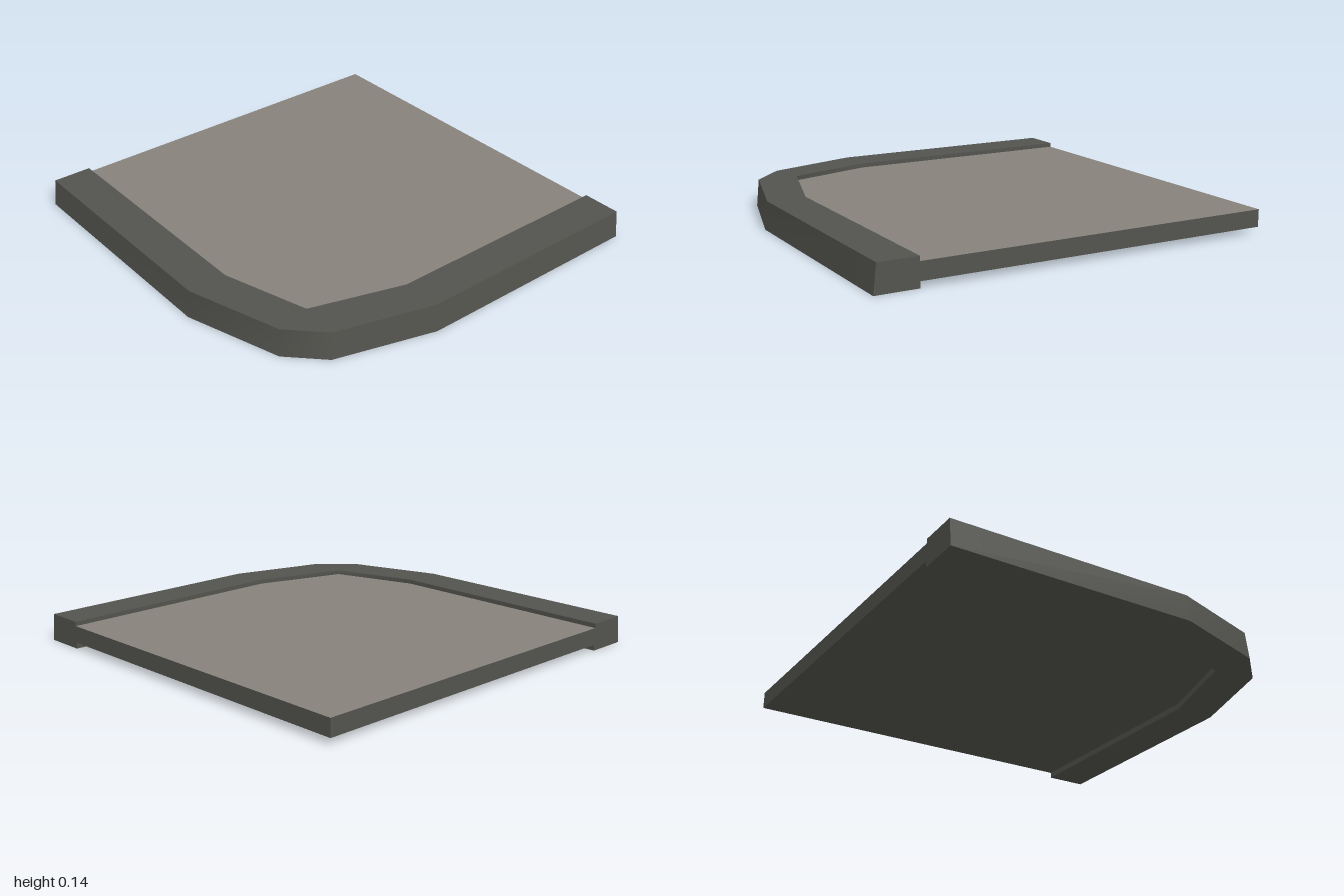
import * as THREE from 'three';

// Plan outlines as [x, z], running from the left-hand end round the corner to the back
const OUTER_LOW = [[-1, 1], [0.22, 1], [0.7, 0.85], [0.86, 0.69], [1, 0.2], [1, -1]];
const OUTER_TOP = [[-1, 0.985], [0.22, 0.985], [0.69, 0.84], [0.85, 0.68], [0.985, 0.2], [0.985, -1]];
const INNER = [[-1, 0.79], [0.22, 0.79], [0.65, 0.66], [0.79, 0.2], [0.79, -1]];
const CORNER = [-1, -1];

// Heights
const CURB_TOP = 0.137, SLAB_TOP = 0.115, SLAB_BASE = 0.03;

// Wall between a lower and an upper path, smooth along its length
function wall(low, yLow, high, yHigh) {
  const pos = [], index = [];
  low.forEach(([x, z], i) => {
    pos.push(x, yLow, z, high[i][0], yHigh, high[i][1]);
    if (i > 0) {
      const a = 2 * i - 2;
      index.push(a, a + 2, a + 3, a, a + 3, a + 1);
    }
  });
  const geo = new THREE.BufferGeometry();
  geo.setAttribute('position', new THREE.Float32BufferAttribute(pos, 3));
  geo.setIndex(index);
  geo.computeVertexNormals();
  return geo;
}

// Flat horizontal face over an outline, facing up or down
function flat(outline, y, up) {
  const s = up ? -1 : 1;
  const shape = new THREE.Shape(outline.map(([x, z]) => new THREE.Vector2(x, s * z)));
  return new THREE.ShapeGeometry(shape).rotateX(s * Math.PI / 2).translate(0, y, 0);
}

export function createModel() {
  const paving = new THREE.MeshStandardMaterial({ name: 'paving grey', color: 0x87837b });
  const stone = new THREE.MeshStandardMaterial({ name: 'dark curb grey', color: 0x53544e });

  const model = new THREE.Group();
  model.name = 'pavementCorner';
  const curb = new THREE.Group();
  curb.name = 'curb';
  const slab = new THREE.Group();
  slab.name = 'slab';
  model.add(curb, slab);

  const add = (group, name, geo, mat) => {
    const mesh = new THREE.Mesh(geo, mat);
    mesh.name = name;
    group.add(mesh);
  };

  const innerBack = [...INNER].reverse();

  // Raised curb: sloping outer wall, top, base and the small inner steps
  add(curb, 'curbOuterWall', wall(OUTER_LOW, 0, OUTER_TOP, CURB_TOP), stone);
  add(curb, 'curbTop', flat([...OUTER_TOP, ...innerBack], CURB_TOP, true), stone);
  add(curb, 'curbBase', flat([...OUTER_LOW, ...innerBack], 0, false), stone);
  add(curb, 'curbUpperStep', wall(innerBack, SLAB_TOP, innerBack, CURB_TOP), stone);
  add(curb, 'curbLowerStep', wall(innerBack, 0, innerBack, SLAB_BASE), stone);

  // Cut ends of the curb
  add(curb, 'curbSideEnd', wall([INNER[0], OUTER_LOW[0]], 0, [INNER[0], OUTER_TOP[0]], CURB_TOP), stone);
  add(curb, 'curbBackEnd', wall([OUTER_LOW[5], INNER[4]], 0, [OUTER_TOP[5], INNER[4]], CURB_TOP), stone);

  // Slab held inside the curb: light surface, dark edges and underside
  const plan = [...INNER, CORNER];
  add(slab, 'slabSurface', flat(plan, SLAB_TOP, true), paving);
  add(slab, 'slabUnderside', flat(plan, SLAB_BASE, false), stone);
  const backEdge = [INNER[4], CORNER], sideEdge = [CORNER, INNER[0]];
  add(slab, 'slabBackEdge', wall(backEdge, SLAB_BASE, backEdge, SLAB_TOP), stone);
  add(slab, 'slabSideEdge', wall(sideEdge, SLAB_BASE, sideEdge, SLAB_TOP), stone);

  return model;
}
